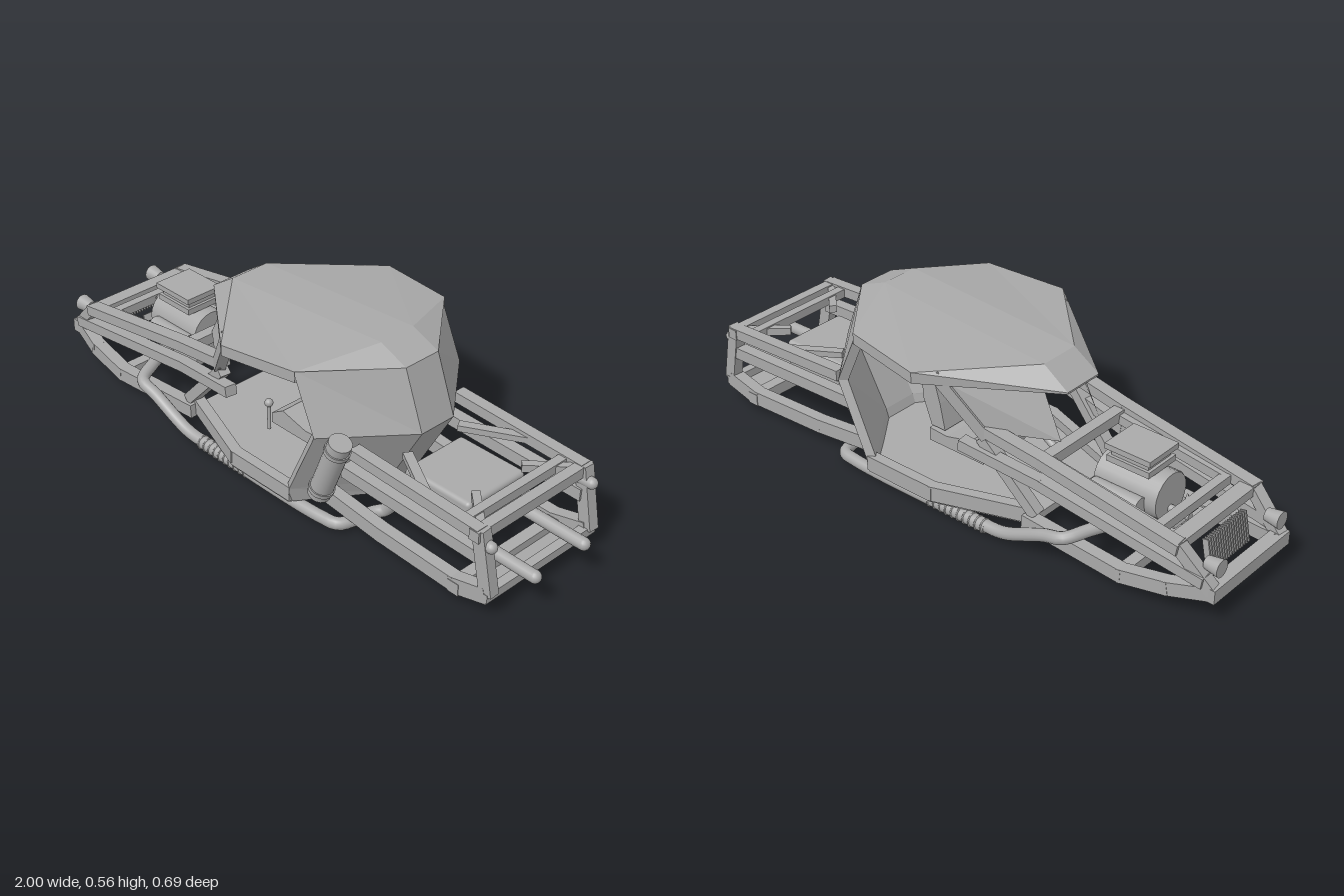
import * as THREE from 'three';
import { RoundedBoxGeometry } from 'three/addons/geometries/RoundedBoxGeometry.js';

const V = (p) => new THREE.Vector3(...p);
const flip = (p) => [p[0], p[1], -p[2]];

export function createModel() {
  const root = new THREE.Group();
  root.name = 'buggy';
  const grey = new THREE.MeshStandardMaterial({ color: 0xa9a9a9, side: THREE.DoubleSide });
  grey.name = 'bare grey';

  const add = (name, geo, pos = [0, 0, 0], rot = [0, 0, 0]) => {
    const m = new THREE.Mesh(geo, grey);
    m.name = name;
    m.position.set(...pos);
    m.rotation.set(...rot);
    root.add(m);
    return m;
  };
  const box = (name, size, pos, rot) => add(name, new THREE.BoxGeometry(...size), pos, rot);
  // Square bar from a to b, w wide and h high
  const beam = (name, a, b, w = 0.038, h = 0.035) => {
    const A = V(a), B = V(b);
    const m = box(name, [w, h, A.distanceTo(B) + w * 0.4], A.clone().add(B).multiplyScalar(0.5).toArray());
    m.lookAt(B);
    return m;
  };
  const rod = (name, a, b, r, r2 = r, seg = 20) => {
    const A = V(a), B = V(b);
    const m = add(name, new THREE.CylinderGeometry(r2, r, A.distanceTo(B), seg), A.clone().add(B).multiplyScalar(0.5).toArray());
    m.quaternion.setFromUnitVectors(new THREE.Vector3(0, 1, 0), B.sub(A).normalize());
    return m;
  };
  const pair = (make, name, a, b, ...rest) => {
    make(name + 'Left', a, b, ...rest);
    make(name + 'Right', flip(a), flip(b), ...rest);
  };
  const chain = (name, pts, w, h) => {
    for (let i = 1; i < pts.length; i++) pair(beam, name, pts[i - 1], pts[i], w, h);
  };
  const cross = (name, x, y, z, w, h) => beam(name, [x, y, -z], [x, y, z], w, h);
  // Flat-faced surface from polygons; a mirrored copy is added for the other side
  const panels = (name, polys, mirror = true) => {
    const out = [];
    const put = (poly) => {
      for (let i = 2; i < poly.length; i++) out.push(...poly[0], ...poly[i - 1], ...poly[i]);
    };
    for (const p of polys) {
      put(p);
      if (mirror) put(p.map(flip).reverse());
    }
    const g = new THREE.BufferGeometry();
    g.setAttribute('position', new THREE.Float32BufferAttribute(out, 3));
    g.computeVertexNormals();
    return add(name, g);
  };

  // Roof: faceted slab tapering to a thin drooping visor
  const A = [-0.385, 0.458, 0.072], B = [-0.295, 0.518, 0.07], C = [0.34, 0.565, 0.065];
  const D = [0.44, 0.525, 0.066], E = [-0.03, 0.51, 0.347], F = [0.24, 0.525, 0.308];
  const low = (p) => [p[0], p[1] - (p === A || p[0] === A[0] ? 0.006 : 0.036), p[2]];
  const top = [[A, E, B], [B, E, F, C], [C, F, D]];
  const mid = [[A, B], [B, C], [C, D]].map(([p, q]) => [p, q, flip(q), flip(p)]);
  panels('roofTop', top);
  panels('roofSpine', mid, false);
  panels('roofUnderside', top.map((p) => p.map(low).reverse()));
  panels('roofSpineUnderside', mid.map((p) => p.map(low).reverse()), false);
  panels('roofRim', [[A, E], [E, F]].map(([p, q]) => [p, low(p), low(q), q]));
  panels('visorEdge', [[A, flip(A), low(flip(A)), low(A)]], false);

  // Rear cabin shell: centre strip and two quarters, kinked at mid height, with a skirt
  const side = [[0.23, 0.525, 0.305], [0.315, 0.335, 0.305], [0.21, 0.105, 0.305], [0.2, 0.05, 0.3]];
  const back = [[0.44, 0.525, 0.066], [0.51, 0.335, 0.066], [0.38, 0.105, 0.066], [0.36, 0.05, 0.066]];
  const inset = (p) => [p[0] - 0.025, p[1], p[2] * 0.94];
  for (let i = 0; i < 3; i++) {
    const q = [side[i], side[i + 1], back[i + 1], back[i]];
    const c = [back[i], back[i + 1], flip(back[i + 1]), flip(back[i])];
    panels('rearQuarter', [q, q.map(inset).reverse(),
      [side[i], inset(side[i]), inset(side[i + 1]), side[i + 1]]]);
    panels('rearCentre', [c, c.map(inset).reverse()], false);
  }

  // Floor pan and sills
  const plan = [[-0.36, 0.19], [-0.05, 0.3], [0.2, 0.3], [0.36, 0.066]];
  const outline = [...plan, ...plan.map(([x, z]) => [x, -z]).reverse()];
  const floor = new THREE.ExtrudeGeometry(
    new THREE.Shape(outline.map(([x, z]) => new THREE.Vector2(x, z))), { depth: 0.025, bevelEnabled: false });
  add('floorPan', floor, [0, 0.075, 0], [Math.PI / 2, 0, 0]);
  chain('sill', plan.slice(0, 3).map(([x, z]) => [x, 0.08, z - 0.015]), 0.035, 0.05);

  // Windscreen pillars, side plates and footwell braces
  pair(beam, 'pillar', [-0.2, 0.31, 0.215], [-0.07, 0.495, 0.285], 0.035, 0.035);
  pair(beam, 'footBrace', [-0.37, 0.1, 0.19], [-0.19, 0.29, 0.21]);
  panels('screenPlate', [[[-0.3, 0.465, 0.085], [-0.38, 0.3, 0.09], [-0.21, 0.325, 0.22], [-0.09, 0.48, 0.285]]]);
  cross('cowlBar', -0.39, 0.28, 0.175);

  // Front frame
  chain('frontLowerRail', [[-0.975, 0.1, 0.165], [-0.85, 0.078, 0.198], [-0.7, 0.052, 0.208], [-0.35, 0.07, 0.2]], 0.042, 0.045);
  pair(beam, 'frontTopRail', [-0.87, 0.215, 0.19], [-0.39, 0.293, 0.198], 0.045, 0.035);
  pair(beam, 'cowlRail', [-0.39, 0.293, 0.198], [-0.19, 0.325, 0.21], 0.045, 0.035);
  pair(beam, 'frontMiddleRail', [-0.95, 0.135, 0.18], [-0.39, 0.219, 0.2], 0.04, 0.035);
  pair(beam, 'scuttleRail', [-0.39, 0.219, 0.2], [-0.13, 0.26, 0.235], 0.04, 0.035);
  pair(beam, 'nosePost', [-0.975, 0.11, 0.17], [-0.87, 0.215, 0.185]);
  pair(beam, 'engineBayRail', [-0.78, 0.222, 0.164], [-0.39, 0.275, 0.164], 0.025, 0.03);
  cross('noseBar', -0.975, 0.1, 0.18, 0.045, 0.045);
  cross('noseTopBar', -0.855, 0.215, 0.19, 0.05, 0.03);
  cross('engineBayBar', -0.785, 0.222, 0.18, 0.03, 0.03);
  cross('frontFloorBar', -0.7, 0.052, 0.2);
  pair(rod, 'headlight', [-0.99, 0.175, 0.15], [-0.94, 0.175, 0.15], 0.028, 0.02);

  // Rear frame
  pair(beam, 'rearTopRail', [0.4, 0.288, 0.219], [0.87, 0.268, 0.219], 0.04, 0.035);
  pair(beam, 'rearMiddleRail', [0.36, 0.205, 0.212], [0.88, 0.19, 0.212], 0.04, 0.04);
  pair(beam, 'rearPost', [0.875, 0.275, 0.217], [0.912, 0.085, 0.215], 0.036, 0.042);
  chain('rearLowerRail', [[0.28, 0.082, 0.21], [0.5, 0.06, 0.212], [0.79, 0.05, 0.214], [0.905, 0.078, 0.214]], 0.04, 0.048);
  cross('rearTopBar', 0.87, 0.266, 0.235, 0.035, 0.035);
  cross('rearLowerBar', 0.908, 0.073, 0.228, 0.03, 0.028);
  cross('rearFloorBar', 0.8, 0.045, 0.228, 0.04, 0.04);
  cross('rearInnerBar', 0.81, 0.268, 0.21, 0.03, 0.03);
  box('rearSkidPlate', [0.13, 0.012, 0.466], [0.855, 0.043, 0], [0, 0, 0.26]);
  pair(beam, 'rearShellBrace', [0.5, 0.276, 0.11], [0.67, 0.272, 0.21], 0.03, 0.02);
  pair(beam, 'rearTailBrace', [0.75, 0.266, 0.1], [0.87, 0.266, 0.21], 0.025, 0.025);
  pair(rod, 'tailLight', [0.865, 0.235, 0.213], [0.91, 0.235, 0.213], 0.018);
  for (const z of [-0.213, 0.213]) add('tailLens', new THREE.SphereGeometry(0.018, 16, 10), [0.91, 0.235, z]);

  // Fuel tank with a seam flange
  add('fuelTank', new RoundedBoxGeometry(0.25, 0.094, 0.242, 3, 0.014), [0.62, 0.193, 0]);
  box('fuelTankSeam', [0.255, 0.006, 0.248], [0.62, 0.172, 0]);

  // Exhausts with ribbed sleeves and domed tips
  for (const s of [1, -1]) {
    const pts = [[-0.62, 0.13, 0.08], [-0.57, 0.13, 0.19], [-0.53, 0.12, 0.26], [-0.46, 0.1, 0.264], [-0.31, 0.037, 0.262],
      [-0.22, 0.028, 0.26], [0.3, 0.028, 0.26], [0.36, 0.028, 0.245], [0.39, 0.028, 0.13], [0.41, 0.034, 0.108],
      [0.47, 0.1, 0.105], [0.51, 0.117, 0.105], [0.98, 0.117, 0.105]].map((p) => V([p[0], p[1], p[2] * s]));
    add('exhaustPipe', new THREE.TubeGeometry(new THREE.CatmullRomCurve3(pts, false, 'centripetal'), 120, 0.02, 14));
    add('exhaustTip', new THREE.SphereGeometry(0.02, 16, 10), [0.98, 0.117, 0.105 * s]);
    rod('exhaustSleeve', [-0.245, 0.027, 0.26 * s], [-0.015, 0.027, 0.26 * s], 0.022);
    for (let i = 0; i < 10; i++) {
      add('sleeveRib', new THREE.TorusGeometry(0.022, 0.003, 6, 18), [-0.235 + i * 0.0235, 0.026, 0.26 * s], [0, Math.PI / 2, 0]);
    }
  }

  // Strapped canister on one rear quarter
  const c0 = V([0.312, 0.132, 0.28]), c1 = V([0.398, 0.35, 0.28]);
  const along = (t) => c0.clone().lerp(c1, t).toArray();
  rod('canister', along(0), along(1), 0.036);
  for (const t of [0.12, 0.85]) rod('canisterStrap', along(t - 0.03), along(t + 0.03), 0.04);

  // Engine, intake, fan and radiator
  box('engineBlock', [0.2, 0.1, 0.12], [-0.6, 0.15, 0]);
  rod('engineBarrel', [-0.71, 0.21, 0], [-0.49, 0.21, 0], 0.075);
  pair(rod, 'cylinderBank', [-0.67, 0.2, 0.09], [-0.5, 0.2, 0.09], 0.03);
  box('intakeNeck', [0.08, 0.06, 0.06], [-0.6, 0.285, 0]);
  box('intakeBase', [0.15, 0.02, 0.13], [-0.6, 0.295, 0]);
  box('intakeFilter', [0.13, 0.03, 0.11], [-0.6, 0.318, 0]);
  box('intakeLid', [0.16, 0.018, 0.14], [-0.6, 0.336, 0]);
  rod('fanShaft', [-0.78, 0.17, 0], [-0.7, 0.17, 0], 0.012);
  for (let i = 0; i < 4; i++) {
    const a = i * Math.PI / 2;
    box('fanBlade', [0.006, 0.06, 0.025], [-0.765, 0.17 + 0.035 * Math.cos(a), 0.035 * Math.sin(a)], [a, 0.4, 0]);
  }
  for (let i = 0; i < 18; i++) box('radiatorFin', [0.02, 0.1, 0.005], [-0.905, 0.15, -0.094 + i * 0.011], [0, 0, -0.2]);

  // Seat
  const seatShape = new THREE.Shape([[-0.09, 0.1], [-0.09, 0.135], [-0.04, 0.165], [0.06, 0.14], [0.13, 0.145], [0.13, 0.1]]
    .map((p) => new THREE.Vector2(...p)));
  const backShape = new THREE.Shape([[0.075, 0.15], [0.095, 0.24], [0.135, 0.37], [0.17, 0.375], [0.165, 0.24], [0.13, 0.15]]
    .map((p) => new THREE.Vector2(...p)));
  const slab = (s, w) => new THREE.ExtrudeGeometry(s, { depth: w, bevelEnabled: false });
  add('seatCushion', slab(seatShape, 0.2), [0, 0, -0.1]);
  add('seatBack', slab(backShape, 0.18), [0, 0, -0.09]);
  box('headrest', [0.025, 0.06, 0.09], [0.165, 0.405, 0], [0, 0, -0.12]);

  // Steering and gear lever
  const wheel = add('steeringWheel', new THREE.TorusGeometry(0.058, 0.007, 8, 28), [-0.105, 0.315, 0]);
  wheel.lookAt(V([0.1, 0.45, 0]));
  rod('steeringColumn', [-0.3, 0.19, 0], [-0.105, 0.315, 0], 0.012);
  rod('wheelSpoke', [-0.105, 0.315, -0.058], [-0.105, 0.315, 0.058], 0.006);
  rod('gearLever', [-0.07, 0.1, 0.13], [-0.07, 0.19, 0.13], 0.006);
  add('gearKnob', new THREE.SphereGeometry(0.014, 14, 10), [-0.07, 0.195, 0.13]);

  return root;
}
